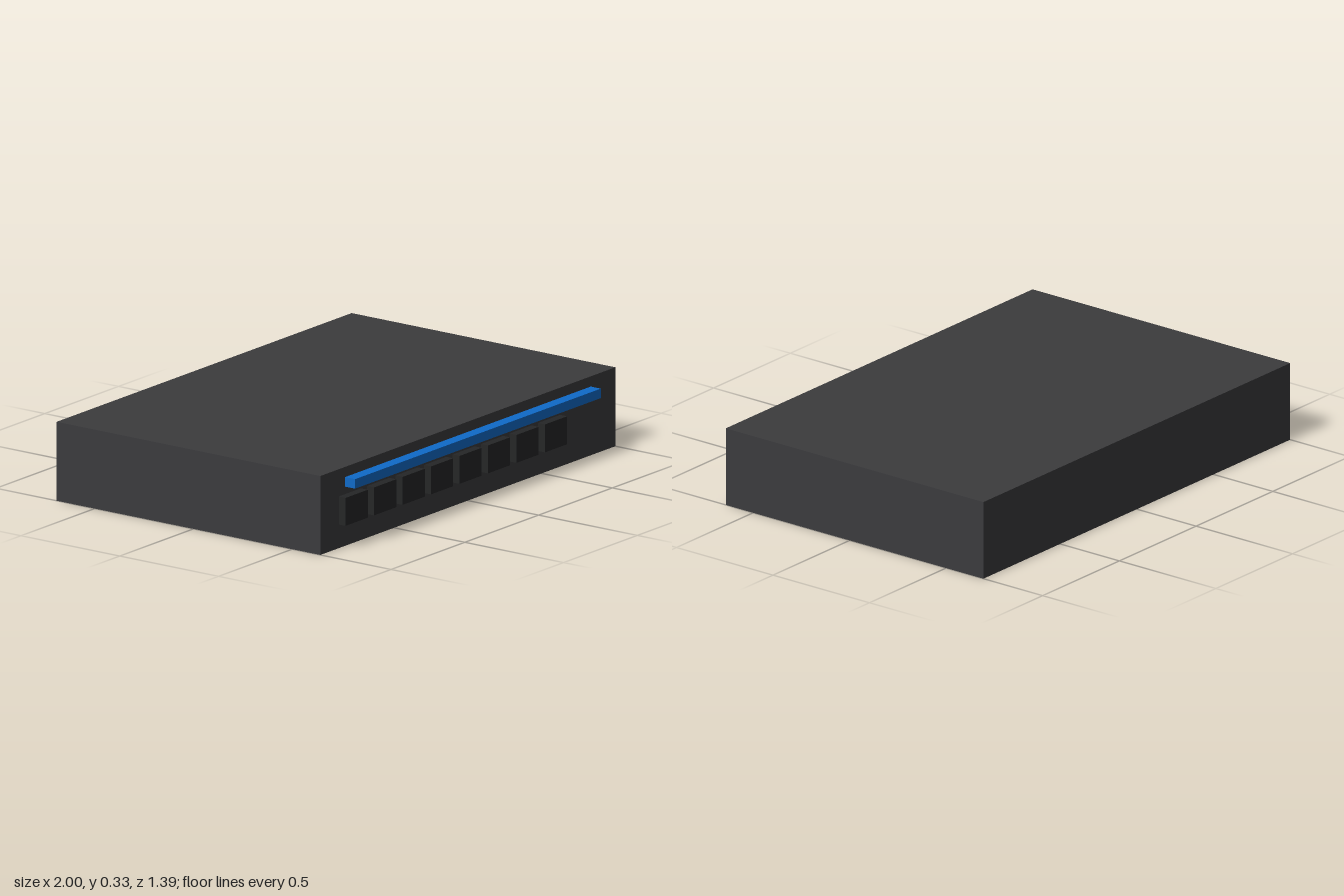
import * as THREE from 'three';

const BODY_FRONT = 0.642;

// Box given by its min/max corners
function addBox(parent, name, color, [x0, y0, z0], [x1, y1, z1]) {
  const mesh = new THREE.Mesh(
    new THREE.BoxGeometry(x1 - x0, y1 - y0, z1 - z0),
    new THREE.MeshStandardMaterial({ color })
  );
  mesh.position.set((x0 + x1) / 2, (y0 + y1) / 2, (z0 + z1) / 2);
  mesh.name = name;
  parent.add(mesh);
  return mesh;
}

export function createModel() {
  const model = new THREE.Group();
  model.name = 'networkSwitch';

  // Flat rectangular case
  addBox(model, 'case', 0x3b3b3d, [-1, 0, -0.693], [1, 0.333, BODY_FRONT]);

  // Accent strip above the ports
  addBox(model, 'accentStrip', 0x0f6ac8, [-0.833, 0.25, BODY_FRONT - 0.02], [0.833, 0.29, 0.693]);

  // Row of eight ports, starting near the right-hand edge
  const ports = new THREE.Group();
  ports.name = 'ports';
  for (let i = 0; i < 8; i++) {
    const x = -0.8 + i * 0.193;
    addBox(ports, `port${i + 1}`, 0x252627,
      [x - 0.075, 0.1, BODY_FRONT - 0.02], [x + 0.075, 0.218, 0.677]);
  }
  model.add(ports);

  return model;
}
